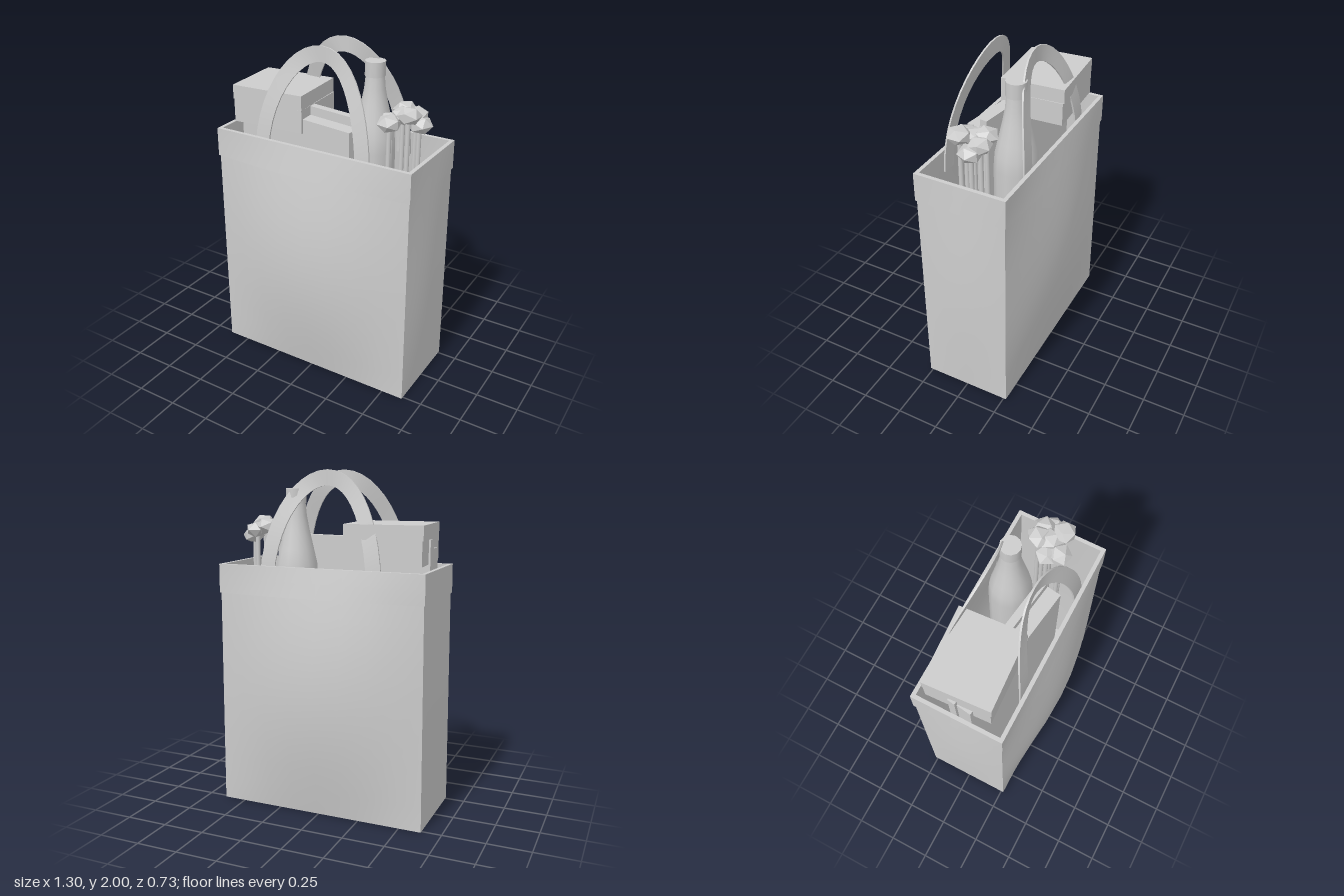
import * as THREE from 'three';

const H = 1.46; // rim height

export function createModel() {
  const model = new THREE.Group();
  const grey = new THREE.MeshStandardMaterial({ color: 0xcccccc });
  grey.name = 'grey';

  const add = (name, geometry, parent = model) => {
    const mesh = new THREE.Mesh(geometry, grey);
    mesh.name = name;
    parent.add(mesh);
    return mesh;
  };
  const group = (name) => {
    const g = new THREE.Group();
    g.name = name;
    model.add(g);
    return g;
  };

  // One bulging wall, offset from the bag's surface, turned to its side
  const wall = (side, y0, y1, off0, off1, rows, facing = 1) => {
    const broad = side % 2 === 0;
    const geo = new THREE.PlaneGeometry(2, 1, 8, rows);
    const p = geo.attributes.position;
    for (let i = 0; i < p.count; i++) {
      const s = p.getX(i), v = p.getY(i) + 0.5;
      const y = y0 + (y1 - y0) * v, off = off0 + (off1 - off0) * v;
      const halfX = 0.633 - 0.013 * y / H + off, halfZ = 0.266 + off;
      const puff = (broad ? 0.098 : 0.022) * Math.sin(Math.PI * y / H) * Math.cos(s * Math.PI / 2);
      p.setXYZ(i, facing * s * (broad ? halfX : halfZ), y, (broad ? halfZ : halfX) + puff);
    }
    geo.computeVertexNormals();
    return geo.rotateY(side * Math.PI / 2);
  };

  // Bag: outer walls, lining, folded cuff and its lower lip
  const bag = group('bag');
  for (let side = 0; side < 4; side++) {
    add('outerWall', wall(side, 0, H, 0, 0, 10), bag);
    add('innerWall', wall(side, 0.01, H, -0.016, -0.016, 10, -1), bag);
    add('cuff', wall(side, 1.29, H, 0.007, 0.007, 2), bag);
    add('cuffLip', wall(side, 1.289, 1.29, 0, 0.007, 1), bag);
  }
  add('bagBase', new THREE.BoxGeometry(1.266, 0.012, 0.532).translate(0, 0.006, 0), bag);

  // Flat rim joining the cuff and the lining
  const rectangle = (shape, a, b) =>
    shape.moveTo(-a, -b).lineTo(a, -b).lineTo(a, b).lineTo(-a, b).closePath();
  const rim = rectangle(new THREE.Shape(), 0.627, 0.273);
  rim.holes.push(rectangle(new THREE.Path(), 0.604, 0.25));
  add('rim', new THREE.ShapeGeometry(rim).rotateX(-Math.PI / 2).translate(0, H, 0), bag);

  // Handle: arched strap that leans in towards the middle
  const strap = () => {
    const steps = 24, pos = [], index = [];
    for (let i = 0; i <= steps; i++) {
      const t = Math.PI * i / steps, c = Math.cos(t), s = Math.sin(t);
      const n = new THREE.Vector2(c / 0.328, s / 0.627).normalize().multiplyScalar(0.044);
      const z = 0.245 - 0.125 * s * s;
      const section = [[1, 0.005], [-1, 0.005], [-1, -0.005], [1, -0.005]];
      // each edge has its own pair of corners so the strap stays crisp
      for (let k = 0; k < 4; k++) {
        for (const [w, dz] of [section[k], section[(k + 1) % 4]]) {
          pos.push(0.328 * c + w * n.x, 1.33 + 0.626 * s + w * n.y, z + dz);
        }
        if (i < steps) {
          const a = i * 8 + k * 2, b = a + 8;
          index.push(a, b, a + 1, a + 1, b, b + 1);
        }
      }
    }
    index.push(0, 1, 3, 0, 3, 5);
    const e = steps * 8;
    index.push(e, e + 3, e + 1, e, e + 5, e + 3);
    const geo = new THREE.BufferGeometry();
    geo.setAttribute('position', new THREE.Float32BufferAttribute(pos, 3));
    geo.setIndex(index);
    geo.computeVertexNormals();
    return geo;
  };
  add('frontHandle', strap());
  add('backHandle', strap().rotateY(Math.PI));

  // Boxes: name, size, x, bottom, top, z, turn
  const boxes = [
    ['upperBox', 0.45, 0.385, -0.353, 1.625, 1.708, -0.023, 0.065],
    ['lowerBox', 0.45, 0.38, -0.35, 1.487, 1.625, -0.023, 0.05],
    ['tallPacket', 0.82, 0.045, -0.185, 0.02, 1.622, 0.022, -0.14],
    ['shortPacket', 0.81, 0.085, -0.185, 0.02, 1.57, 0.088, -0.14],
  ];
  for (const [name, w, d, x, y0, y1, z, turn] of boxes) {
    const box = add(name, new THREE.BoxGeometry(w, y1 - y0, d));
    box.position.set(x, (y0 + y1) / 2, z);
    box.rotation.y = turn;
  }

  // Bottle with a wider cap
  const bottle = group('bottle');
  bottle.position.set(0.2, 0, -0.11);
  const profile = [[0, 0.02], [0.125, 0.02], [0.125, 1.38], [0.118, 1.47], [0.1, 1.55],
    [0.075, 1.66], [0.06, 1.74], [0.052, 1.82]];
  add('bottleBody', new THREE.LatheGeometry(profile.map(([r, y]) => new THREE.Vector2(r, y)), 12), bottle);
  add('bottleCap', new THREE.CylinderGeometry(0.058, 0.058, 0.085, 12).translate(0, 1.852, 0), bottle);

  // Bunch of faceted heads on thin stems
  const bunch = group('bunch');
  const heads = [[0.5, 1.685, 0.06], [0.42, 1.67, -0.055], [0.49, 1.65, -0.055], [0.53, 1.615, -0.02],
    [0.37, 1.62, 0.02], [0.395, 1.63, 0.085], [0.44, 1.66, 0.01]];
  heads.forEach(([x, y, z], i) => {
    const head = add('head', new THREE.IcosahedronGeometry(0.07, 0), bunch);
    head.scale.y = 0.72;
    head.position.set(x, y, z);
    head.rotation.y = i * 0.9;
    const length = y - 0.02;
    add('stem', new THREE.CylinderGeometry(0.014, 0.014, length, 8)
      .translate(x * 0.94 + 0.025, 0.02 + length / 2, z), bunch);
  });

  return model;
}
